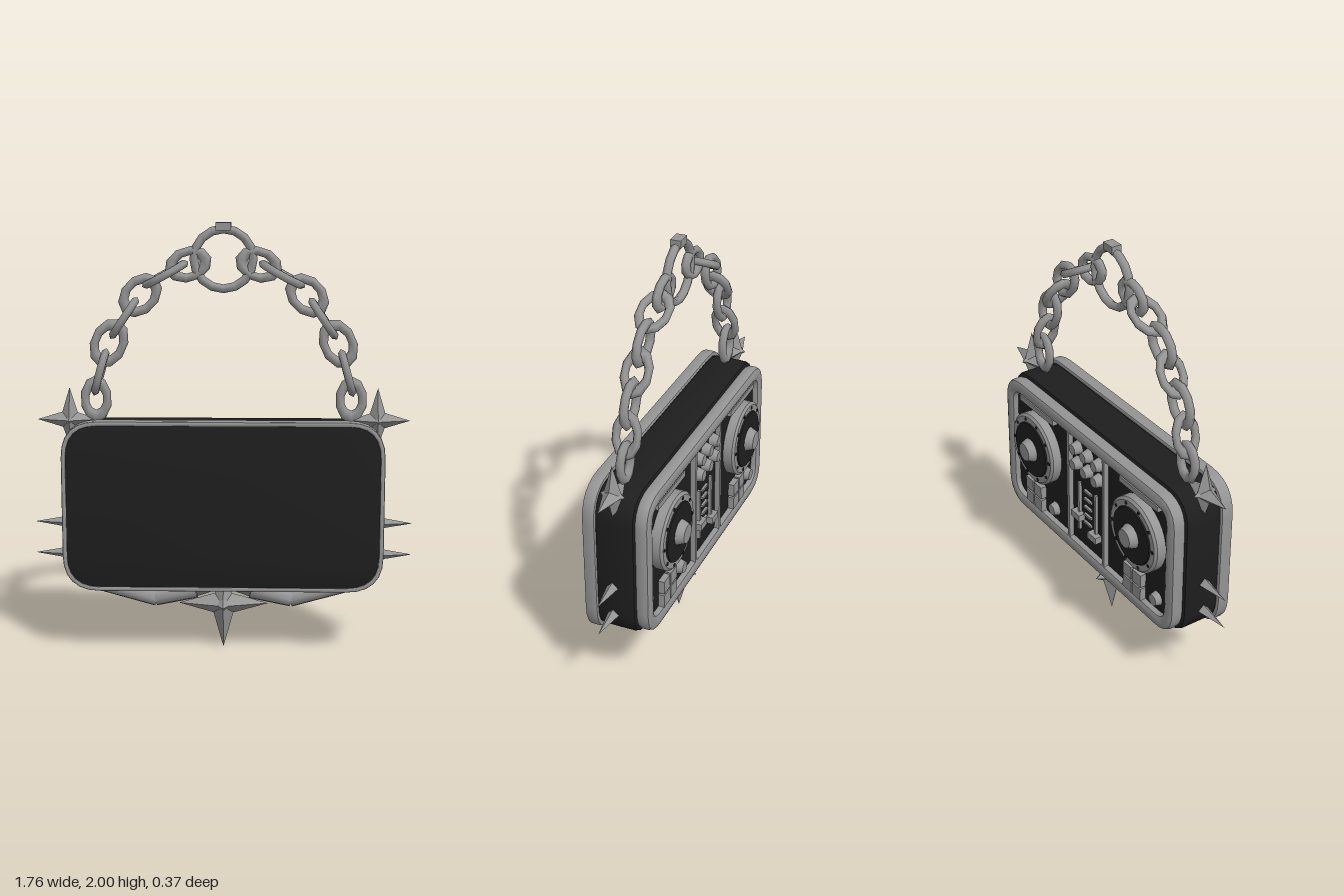
import * as THREE from 'three';
import { toCreasedNormals } from 'three/addons/utils/BufferGeometryUtils.js';

const silver = new THREE.MeshStandardMaterial({ color: 0x959595 });
silver.name = 'silver metal';
const black = new THREE.MeshStandardMaterial({ color: 0x1e1e1e });
black.name = 'black casing';

const Z = 0.04; // depth of the chain and spikes
const CY = 0.71; // middle height of the casing

export function createModel() {
  const model = new THREE.Group();
  model.name = 'chainedMixerBag';

  const add = (name, geo, mat, x = 0, y = 0, z = 0, parent = model) => {
    const mesh = new THREE.Mesh(geo, mat);
    mesh.name = name;
    mesh.position.set(x, y, z);
    parent.add(mesh);
    return mesh;
  };

  // Rounded rectangle outline, half sizes w and h
  const outline = (w, h, r, Type = THREE.Shape) => {
    const s = new Type();
    s.moveTo(-w + r, -h);
    s.lineTo(w - r, -h);
    s.quadraticCurveTo(w, -h, w, -h + r);
    s.lineTo(w, h - r);
    s.quadraticCurveTo(w, h, w - r, h);
    s.lineTo(-w + r, h);
    s.quadraticCurveTo(-w, h, -w, h - r);
    s.lineTo(-w, -h + r);
    s.quadraticCurveTo(-w, -h, -w + r, -h);
    return s;
  };

  // Rounded slab or frame from z0 to z1; rim > 0 cuts an opening
  const slab = (w, h, r, z0, z1, bevel, rim = 0) => {
    const shape = outline(w - bevel, h - bevel, r - bevel);
    if (rim) shape.holes.push(outline(w - rim + bevel, h - rim + bevel, Math.max(r - rim, 0.05) + bevel, THREE.Path));
    const geo = new THREE.ExtrudeGeometry(shape, {
      depth: z1 - z0 - 2 * bevel, bevelEnabled: bevel > 0, bevelSize: bevel,
      bevelThickness: bevel, bevelSegments: 2, curveSegments: 6,
    });
    geo.translate(0, 0, z0 + bevel);
    return toCreasedNormals(geo, 0.7);
  };

  // Casing
  add('casing', slab(0.725, 0.38, 0.15, -0.06, 0.13, 0.02), black, 0, CY);
  add('frontFrame', slab(0.74, 0.4, 0.17, 0.12, 0.18, 0.008, 0.022), silver, 0, CY);
  add('frontPanel', slab(0.724, 0.384, 0.165, 0.125, 0.176, 0.004), black, 0, CY);
  add('backFrame', slab(0.71, 0.365, 0.14, -0.12, -0.05, 0.02, 0.07), silver, 0, CY);
  add('controlPanel', slab(0.67, 0.325, 0.1, -0.09, -0.05, 0), black, 0, CY);

  // Controls on the back; discs point toward -z
  const disc = (name, mat, x, y, z, r0, r1, depth, sides = 24, parent = model) => {
    const geo = new THREE.CylinderGeometry(r1, r0, depth, sides);
    geo.rotateX(-Math.PI / 2);
    return add(name, geo, mat, x, y, z - depth / 2, parent);
  };
  const block = (name, mat, x, y, w, h, depth, parent = model) =>
    add(name, new THREE.BoxGeometry(w, h, depth), mat, x, y, -0.09 - depth / 2, parent);

  for (const side of [-1, 1]) {
    const deck = new THREE.Group();
    deck.name = 'deck';
    deck.position.x = side * 0.43;
    model.add(deck);
    disc('turntableBase', silver, 0, 0.775, -0.08, 0.185, 0.185, 0.055, 32, deck);
    disc('turntableRim', silver, 0, 0.775, -0.135, 0.185, 0.172, 0.01, 32, deck);
    disc('record', black, 0, 0.775, -0.14, 0.145, 0.14, 0.012, 32, deck);
    disc('recordKnob', silver, 0, 0.775, -0.15, 0.062, 0.045, 0.04, 16, deck);
    for (let i = 0; i < 10; i++) {
      const a = (i / 10) * Math.PI * 2;
      disc('rimDot', black, 0.158 * Math.cos(a), 0.775 + 0.158 * Math.sin(a), -0.14, 0.009, 0.009, 0.008, 6, deck);
    }
    for (const i of [-1, 1]) for (const j of [-1, 1])
      block('padButton', silver, 0.035 + i * 0.038, 0.485 + j * 0.038, 0.066, 0.066, 0.03, deck);
    disc('deckKnob', silver, -0.13, 0.48, -0.085, 0.038, 0.028, 0.035, 12, deck);
    block('deckBar', silver, 0, 0.99, 0.3, 0.028, 0.025, deck);
    block('divider', silver, side * 0.15 - side * 0.43, CY, 0.018, 0.6, 0.025, deck);
  }

  // Mixer knobs, faders and level marks
  for (const x of [-0.09, 0, 0.09]) for (const y of [0.865, 0.95])
    disc('mixerKnob', silver, x, y, -0.085, 0.037, 0.026, 0.045, 12);
  for (const [x, y] of [[0.075, 0.58], [-0.065, 0.53]]) {
    block('faderTrack', silver, x, 0.63, 0.014, 0.27, 0.015);
    block('faderHandle', silver, x, y, 0.07, 0.035, 0.035);
  }
  for (let i = 0; i < 5; i++) block('levelMark', silver, 0.005, 0.56 + i * 0.045, 0.06, 0.012, 0.012);

  // Four-sided spike from a base point along a direction
  const spike = (name, x, y, z, dir, length, r) => {
    let geo = new THREE.ConeGeometry(r, length, 4).toNonIndexed();
    geo.translate(0, length / 2, 0);
    geo.computeVertexNormals();
    const mesh = add(name, geo, silver, x, y, z);
    mesh.quaternion.setFromUnitVectors(new THREE.Vector3(0, 1, 0), new THREE.Vector3(...dir));
  };
  const star = (name, x, y, r, arms) => {
    for (const [dx, dy, dz, length] of arms) spike(name, x, y, Z, [dx, dy, dz], length, r);
  };

  for (const s of [-1, 1]) {
    star('cornerStar', s * 0.71, 1.095, 0.046,
      [[s, 0, 0, 0.15], [-s, 0, 0, 0.13], [0, 1, 0, 0.15], [0, -1, 0, 0.13], [0, 0, 1, 0.06], [0, 0, -1, 0.06]]);
    for (const y of [0.46, 0.61]) spike('sideSpike', s * 0.7, y, 0.048, [s, 0, 0], 0.18, 0.032);
  }
  star('bottomStar', 0, 0.215, 0.06,
    [[1, 0, 0, 0.21], [-1, 0, 0, 0.21], [0, -1, 0, 0.215], [0, 1, 0, 0.15], [0, 0, 1, 0.095], [0, 0, -1, 0.095]]);

  // Curved horns under the casing, thin at the outer end
  const hornPoints = [[0.66, 0.37, 0.02], [0.56, 0.3, 0.033], [0.32, 0.24, 0.04], [0.13, 0.285, 0.046]];
  for (const s of [-1, 1]) {
    for (let i = 0; i < 3; i++) {
      const [x0, y0, r0] = hornPoints[i], [x1, y1, r1] = hornPoints[i + 1];
      const dir = new THREE.Vector3(s * (x1 - x0), y1 - y0, 0);
      const geo = new THREE.CylinderGeometry(r1, r0, dir.length() + (i < 2 ? 0.012 : 0), 8);
      const mesh = add('horn', toCreasedNormals(geo, 0.9), silver, s * (x0 + x1) / 2, (y0 + y1) / 2, Z);
      mesh.quaternion.setFromUnitVectors(new THREE.Vector3(0, 1, 0), dir.normalize());
    }
    spike('hornTip', s * 0.13, 0.28, Z, [-s, 0, 0], 0.1, 0.035);
  }

  // Chain: x, y, half length, half width, slope angle, turned edge-on
  const links = [
    [0.16, 1.81, 0.11, 0.08, -0.3, false],
    [0.265, 1.765, 0.12, 0.085, -0.5, true],
    [0.38, 1.67, 0.115, 0.085, -0.8, false],
    [0.455, 1.565, 0.115, 0.075, -0.98, true],
    [0.525, 1.45, 0.12, 0.085, -1.15, false],
    [0.567, 1.315, 0.115, 0.072, -1.3, true],
    [0.588, 1.19, 0.11, 0.073, -1.57, false],
  ];
  for (const s of [-1, 1]) for (const [x, y, long, wide, angle, edge] of links) {
    const geo = new THREE.TorusGeometry(wide - 0.02, 0.02, 6, 10);
    geo.scale(long / wide, 1, 1);
    if (edge) geo.rotateX(Math.PI / 2);
    add('chainLink', geo, silver, s * x, y, 0.035).rotation.z = s * angle;
  }
  add('topRing', new THREE.TorusGeometry(0.135, 0.02, 6, 16), silver, 0, 1.835, 0.035);
  add('ringClasp', new THREE.BoxGeometry(0.07, 0.035, 0.05), silver, 0, 1.9825, 0.035);

  return model;
}
